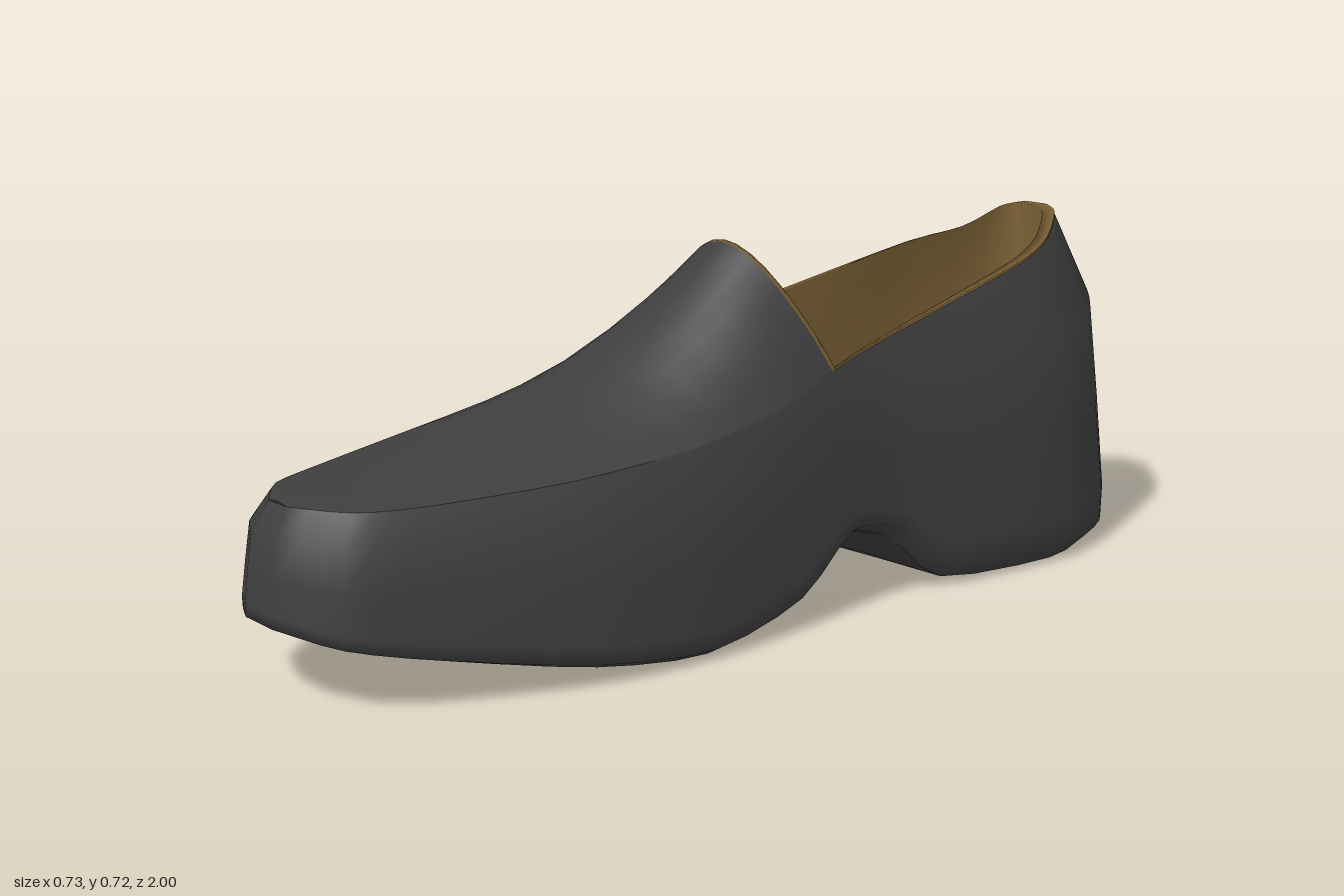
import * as THREE from 'three';

// Stations from heel to toe
// ground outline: z, left x, right x, height of sole edge, extra arch height on the right
const OUTLINE = [
  [-1.0, 0.05, 0.15, 0.03, 0], [-0.975, -0.04, 0.22, 0.015, 0], [-0.89, -0.135, 0.305, 0.01, 0],
  [-0.72, -0.195, 0.36, 0.005, 0], [-0.4, -0.225, 0.335, 0.012, 0.01], [-0.26, -0.25, 0.315, 0.06, 0.07],
  [-0.13, -0.285, 0.315, 0.055, 0.1], [0.02, -0.335, 0.33, 0.03, 0.02], [0.25, -0.365, 0.345, 0.005, 0],
  [0.5, -0.335, 0.32, 0.03, 0], [0.78, -0.25, 0.235, 0.085, 0], [0.93, -0.165, 0.165, 0.12, 0],
  [1.0, -0.04, 0.05, 0.145, 0],
];
// collar and apron seam: z, left x, right x, y
const RIM = [
  [-0.88, 0.07, 0.13, 0.71], [-0.86, 0.04, 0.17, 0.7], [-0.78, 0.0, 0.22, 0.66],
  [-0.65, -0.06, 0.265, 0.63], [-0.42, -0.13, 0.26, 0.565], [-0.22, -0.17, 0.265, 0.515],
  [-0.1, -0.2, 0.28, 0.485], [0.02, -0.255, 0.29, 0.44], [0.25, -0.29, 0.285, 0.395],
  [0.5, -0.255, 0.25, 0.37], [0.76, -0.18, 0.18, 0.358], [0.88, -0.125, 0.13, 0.358],
  [0.95, -0.03, 0.03, 0.36],
];
// crest of the apron from tongue tip to toe, starting at station 6: x, y, z
const CREST = [
  [0.07, 0.72, 0.0], [0.06, 0.635, 0.09], [0.03, 0.49, 0.27], [0.01, 0.405, 0.5],
  [0, 0.375, 0.76], [0, 0.368, 0.88], [0, 0.363, 0.95],
];
const SUB = 3;

// Smooth a row of control points, keeping SUB steps per station
function smooth(points) {
  const curve = new THREE.CatmullRomCurve3(points, false, 'catmullrom', 0.4);
  return curve.getPoints((points.length - 1) * SUB);
}

// One side of a ring: f moves down from rim to ground, g outwards, shrink pulls the sole in
function edge(side, f, g, shrink = 1) {
  return smooth(RIM.map((r, k) => {
    const o = OUTLINE[k];
    const mid = (o[1] + o[2]) / 2;
    const x = mid + (o[side] - mid) * shrink;
    const low = o[3] + (side === 2 ? o[4] : 0);
    return new THREE.Vector3(
      THREE.MathUtils.lerp(r[side], x, g),
      THREE.MathUtils.lerp(r[3], low, f),
      THREE.MathUtils.lerp(r[0], o[0] * (shrink < 1 ? 0.965 : 1), g));
  }));
}
const ring = (f, g, shrink) => [...edge(1, f, g, shrink), ...edge(2, f, g, shrink).reverse()];

// Skin a grid of equally long rows of points
function skin(rows, closed = false) {
  const n = rows[0].length, index = [];
  const position = rows.flatMap((row) => row.flatMap((p) => [p.x, p.y, p.z]));
  for (let i = 0; i < rows.length - 1; i++) {
    for (let j = 0; j < (closed ? n : n - 1); j++) {
      const a = i * n + j, b = i * n + (j + 1) % n;
      index.push(a, b, a + n, b, b + n, a + n);
    }
  }
  const geometry = new THREE.BufferGeometry();
  geometry.setAttribute('position', new THREE.Float32BufferAttribute(position, 3));
  geometry.setIndex(index);
  geometry.computeVertexNormals();
  return geometry;
}

export function createModel() {
  const leather = new THREE.MeshStandardMaterial({ color: 0x3e3e3e, side: THREE.DoubleSide });
  leather.name = 'charcoal leather';
  const tan = new THREE.MeshStandardMaterial({ color: 0x7d6236, side: THREE.DoubleSide });
  tan.name = 'tan lining';
  const shoe = new THREE.Group();
  shoe.name = 'loafer';
  const add = (name, geometry, material) => {
    const mesh = new THREE.Mesh(geometry, material);
    mesh.name = name;
    shoe.add(mesh);
  };

  // Upper walls: rings from collar down to the sole edge
  const levels = [[0, 0], [0.25, 0.68], [0.55, 0.85], [0.85, 1], [0.95, 0.99], [1, 1, 0.9]];
  add('upper', skin(levels.map((l) => ring(...l)), true), leather);

  // Sole: spans the lowest ring from side to side
  const soleLeft = edge(1, 1, 1, 0.9), soleRight = edge(2, 1, 1, 0.9);
  add('sole', skin(soleLeft.map((p, i) =>
    [0, 0.33, 0.67, 1].map((t) => p.clone().lerp(soleRight[i], t)))), leather);

  // Apron and tongue: arches over the seam from side to side
  const rimLeft = edge(1, 0, 0), rimRight = edge(2, 0, 0);
  const apron = smooth(CREST.map((c) => new THREE.Vector3(...c))).map((c, i) => {
    const a = rimLeft[6 * SUB + i], b = rimRight[6 * SUB + i], row = [];
    for (let j = 0; j <= 14; j++) {
      const t = j / 14, s = Math.sin(Math.PI * t) ** 0.85;
      const p = a.clone().lerp(b, t);
      const center = (a.x + b.x) / 2;
      row.push(new THREE.Vector3(
        p.x + (c.x - center) * s, p.y + (c.y - p.y) * s, p.z + (c.z - p.z) * s));
    }
    return row;
  });
  add('apron', skin(apron), leather);

  // Tongue lining: the same arch set slightly inside, with a visible edge
  const inside = (row, d) => row.map((p) =>
    new THREE.Vector3(0.04 + (p.x - 0.04) * (1 - d * 2), p.y - d, p.z));
  const trim = apron[0].map((p) => p.clone().add(new THREE.Vector3(0, 0.003, -0.008)));
  add('tongueLining', skin([apron[0], trim, inside(trim, 0.015),
    ...apron.slice(1, 6).map((row) => inside(row, 0.015))]), tan);

  // Collar lining: folds over the rim and drops to the insole
  const end = 7 * SUB;
  const inner = (side, f, g, inset, floor) => edge(side, f, g).slice(0, end + 1).map((p) =>
    new THREE.Vector3(p.x + (0.07 - p.x) * inset, floor ?? p.y + 0.004, p.z + (-0.4 - p.z) * inset));
  const loop = (...a) => [...inner(1, ...a).reverse(), ...inner(2, ...a)];
  add('collarLining', skin([loop(0, 0, 0), loop(0, 0, 0.07), loop(0.3, 0.55, 0.1),
    loop(0.6, 0.75, 0.14, 0.19)]), tan);

  // Insole
  const footLeft = inner(1, 0.6, 0.75, 0.14, 0.19), footRight = inner(2, 0.6, 0.75, 0.14, 0.19);
  add('insole', skin(footLeft.map((p, i) => [p, footRight[i]])), tan);

  return shoe;
}
